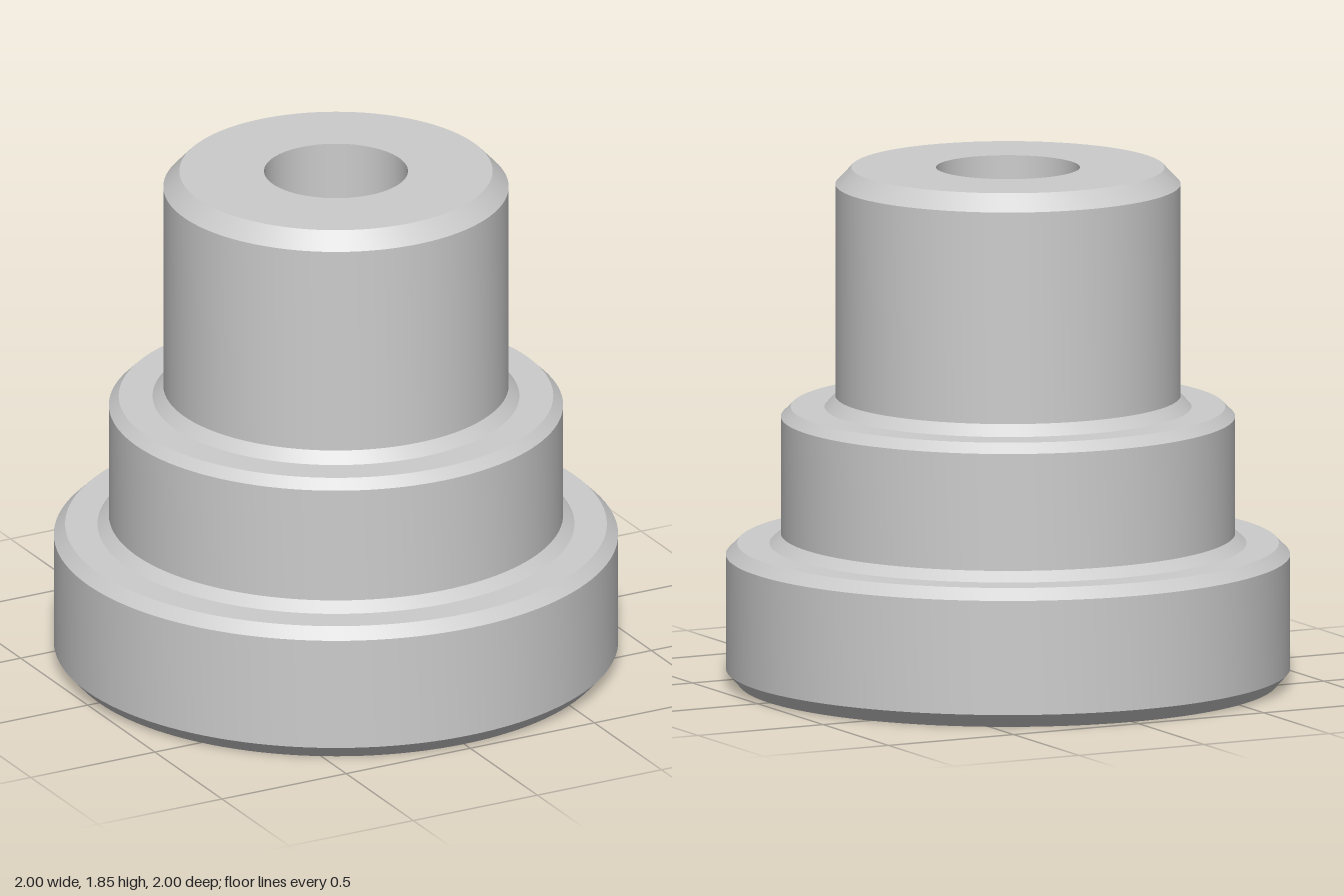
import * as THREE from 'three';
import { toCreasedNormals } from 'three/addons/utils/BufferGeometryUtils.js';

export function createModel() {
  const group = new THREE.Group();
  group.name = 'steppedBushing';

  // Closed half-section as [radius, height], counter-clockwise
  const section = [
    // underside and wide base flange
    [0.39, 0], [0.955, 0], [1, 0.05], [1, 0.46], [0.96, 0.5],
    // middle step with chamfered foot and rim
    [0.845, 0.5], [0.805, 0.535], [0.805, 0.955], [0.77, 0.99],
    // upper neck
    [0.65, 0.99], [0.612, 1.03], [0.612, 1.79], [0.555, 1.85],
    // through bore and counterbore from below
    [0.255, 1.85], [0.255, 0.18], [0.39, 0.18], [0.39, 0],
  ].map(([r, y]) => new THREE.Vector2(r, y));

  const geometry = toCreasedNormals(new THREE.LatheGeometry(section, 128), 0.5);
  const body = new THREE.Mesh(geometry, new THREE.MeshStandardMaterial({ color: 0xcccccc }));
  body.name = 'steppedBody';
  group.add(body);
  return group;
}
